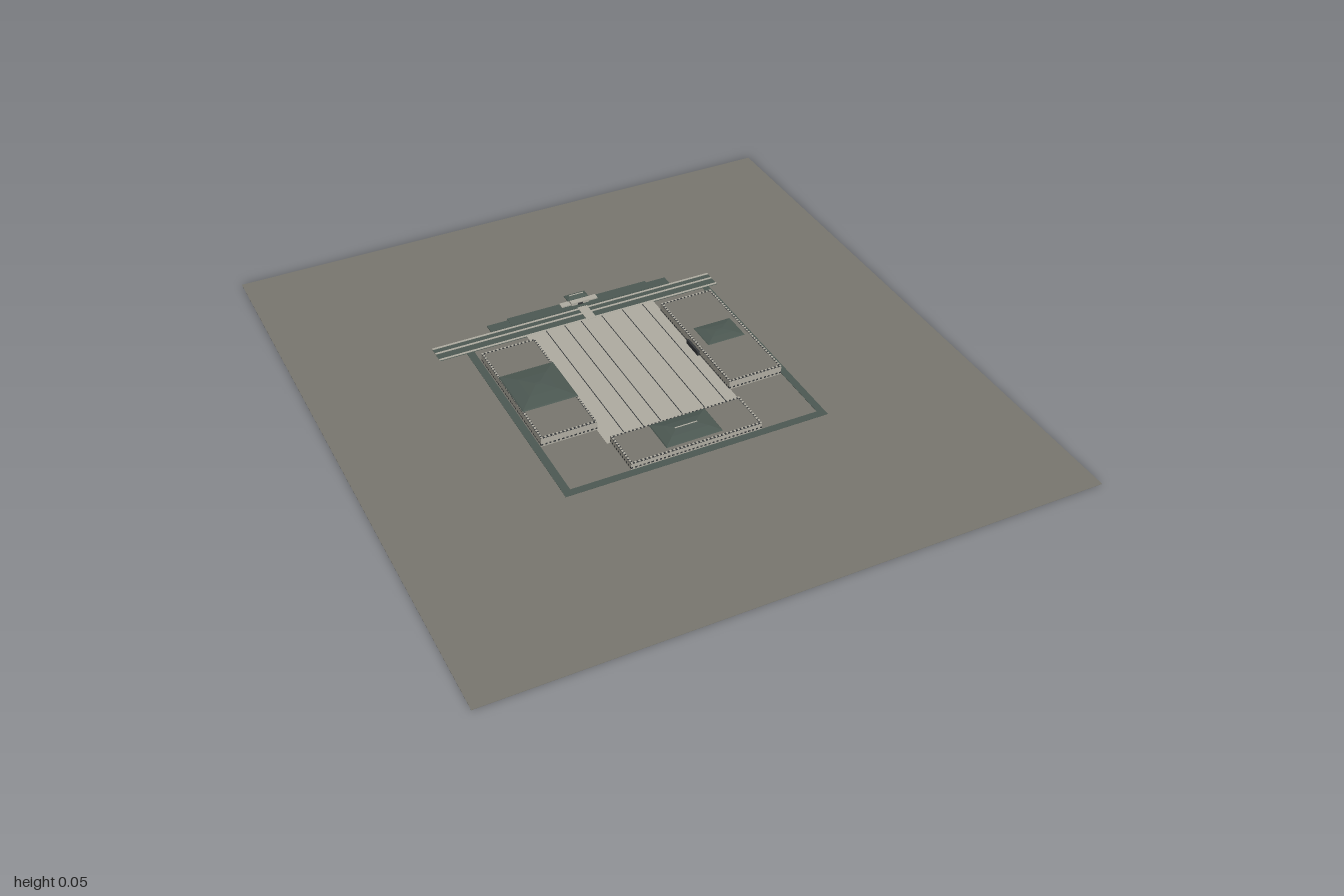
import * as THREE from 'three';
import { mergeGeometries } from 'three/addons/utils/BufferGeometryUtils.js';

const mat = (name, color) => {
  const m = new THREE.MeshStandardMaterial({ color });
  m.name = name;
  return m;
};

export function createModel() {
  const root = new THREE.Group();
  root.name = 'courtyardComplex';
  const ground = mat('ground grey', 0x78766e);
  const stone = mat('pale stone', 0xaeaba0);
  const tile = mat('green slate', 0x4c5852);
  const dark = mat('dark joint', 0x35383a);

  // box from its limits on each axis
  const boxGeo = (x0, x1, y0, y1, z0, z1) =>
    new THREE.BoxGeometry(x1 - x0, y1 - y0, z1 - z0)
      .translate((x0 + x1) / 2, (y0 + y1) / 2, (z0 + z1) / 2);
  const add = (parent, name, geo, material) => {
    const mesh = new THREE.Mesh(geo, material);
    mesh.name = name;
    parent.add(mesh);
    return mesh;
  };
  const box = (parent, name, material, ...limits) => add(parent, name, boxGeo(...limits), material);

  // curved hip roof: shrinking rectangles, closed by a ridge
  const hipRoof = (x0, x1, z0, z1, y0, y1) => {
    const w = (x1 - x0) / 2, d = (z1 - z0) / 2, cx = (x0 + x1) / 2, cz = (z0 + z1) / 2;
    const ridge = Math.max(w - d, 0.01), ridgeZ = Math.max(d - w, 0.004);
    const rings = [[0, 0], [0.04, 0.2], [0.55, 0.75], [1, 1]].map(([t, h]) => {
      const a = w + (ridge - w) * t, b = d + (ridgeZ - d) * t, y = y0 + (y1 - y0) * h;
      return [[-a, b], [a, b], [a, -b], [-a, -b]].map(([x, z]) => [cx + x, y, cz + z]);
    });
    const p = [];
    const quad = (a, b, c, e) => p.push(...a, ...b, ...c, ...a, ...c, ...e);
    for (let i = 0; i < 3; i++)
      for (let k = 0; k < 4; k++) {
        const n = (k + 1) % 4;
        quad(rings[i][k], rings[i][n], rings[i + 1][n], rings[i + 1][k]);
      }
    quad(...rings[3]);
    quad(...[...rings[0]].reverse());
    const g = new THREE.BufferGeometry();
    g.setAttribute('position', new THREE.Float32BufferAttribute(p, 3));
    g.computeVertexNormals();
    return g;
  };

  // small blocks spaced evenly around a rectangle
  const perimeter = (x0, x1, z0, z1, y0, y1, size, step) => {
    const parts = [], s = size / 2;
    const put = (x, z) => parts.push(boxGeo(x - s, x + s, y0, y1, z - s, z + s));
    const nx = Math.round((x1 - x0) / step), nz = Math.round((z1 - z0) / step);
    for (let i = 0; i <= nx; i++) for (const z of [z0, z1]) put(x0 + (x1 - x0) * i / nx, z);
    for (let i = 1; i < nz; i++) for (const x of [x0, x1]) put(x, z0 + (z1 - z0) * i / nz);
    return mergeGeometries(parts);
  };

  // hall: stone walls, flat roof with a beaded parapet, windows and a hip roof
  const hall = (name, [x0, x1, z0, z1], h, roof, peak) => {
    const g = new THREE.Group();
    g.name = name;
    root.add(g);
    box(g, 'walls', stone, x0, x1, 0.001, h - 0.001, z0, z1);
    box(g, 'parapetBase', dark, x0, x1, h - 0.001, h, z0, z1);
    box(g, 'flatRoof', ground, x0 + 0.007, x1 - 0.007, h, h + 0.0006, z0 + 0.007, z1 - 0.007);
    add(g, 'parapetPosts', perimeter(x0 + 0.003, x1 - 0.003, z0 + 0.003, z1 - 0.003, h, h + 0.002, 0.006, 0.012), stone);
    add(g, 'windows', perimeter(x0 + 0.003, x1 - 0.003, z0 + 0.003, z1 - 0.003, 0.005, 0.010, 0.0066, 0.013), dark);
    const [a, b, c, d] = roof;
    box(g, 'roofDrum', stone, a + 0.006, b - 0.006, h, h + 0.003, c + 0.006, d - 0.006);
    add(g, 'hipRoof', hipRoof(a, b, c, d, h + 0.003, peak), tile);
    return g;
  };

  // ground slab
  box(root, 'ground', ground, -0.93, 0.93, 0, 0.001, -1, 1);

  // paved court with joints
  box(root, 'court', stone, -0.22, 0.215, 0.001, 0.003, -0.335, 0.245);
  for (const x of [-0.155, -0.092, -0.036, 0.034, 0.106, 0.176])
    box(root, 'courtJoint', dark, x - 0.0013, x + 0.0013, 0.003, 0.0034, -0.335, 0.24);

  // surrounding channel
  box(root, 'channelRight', tile, -0.418, -0.394, 0.001, 0.002, -0.335, 0.403);
  box(root, 'channelLeft', tile, 0.39, 0.413, 0.001, 0.002, -0.335, 0.403);
  box(root, 'channelFront', tile, -0.394, 0.39, 0.001, 0.002, 0.379, 0.403);

  // three halls
  hall('rightHall', [-0.392, -0.217, -0.275, 0.175], 0.030, [-0.392, -0.217, -0.14, 0.045], 0.046);
  hall('leftHall', [0.212, 0.388, -0.275, 0.175], 0.030, [0.24, 0.366, -0.108, -0.01], 0.041);
  const front = hall('frontHall', [-0.208, 0.208, 0.242, 0.378], 0.022, [-0.09, 0.09, 0.25, 0.362], 0.038);
  box(front, 'roofRidge', stone, -0.036, 0.036, 0.0372, 0.0386, 0.304, 0.308);

  // doorways onto the court
  box(root, 'leftDoorway', dark, 0.205, 0.213, 0.003, 0.018, -0.085, -0.012);
  box(root, 'rightDoorway', dark, -0.218, -0.214, 0.003, 0.018, -0.085, -0.012);
  box(root, 'frontDoorway', dark, -0.05, 0.05, 0.003, 0.015, 0.239, 0.243);

  // avenue along the back with pale kerbs and a crossing
  box(root, 'avenue', tile, -0.505, 0.443, 0.001, 0.002, -0.402, -0.332);
  for (const z of [-0.397, -0.371, -0.337])
    box(root, 'kerb', stone, -0.505, 0.443, 0.002, 0.0035, z - 0.0035, z + 0.0035);
  box(root, 'crossing', stone, -0.016, 0.016, 0.002, 0.004, -0.425, -0.332);

  // back terrace, stepped in at its ends
  box(root, 'backTerrace', tile, -0.31, 0.307, 0.001, 0.004, -0.437, -0.402);
  box(root, 'backTerraceStep', tile, -0.24, 0.24, 0.001, 0.005, -0.445, -0.405);

  // gatehouse
  const gate = new THREE.Group();
  gate.name = 'gatehouse';
  root.add(gate);
  box(gate, 'gateWings', stone, -0.062, 0.062, 0.001, 0.009, -0.443, -0.422);
  box(gate, 'gateBody', stone, -0.03, 0.03, 0.001, 0.014, -0.463, -0.418);
  box(gate, 'gateDoor', dark, -0.009, 0.009, 0.002, 0.011, -0.465, -0.416);
  add(gate, 'gateRoof', hipRoof(-0.036, 0.036, -0.467, -0.436, 0.014, 0.022), tile);
  box(gate, 'gateRidge', stone, -0.024, 0.024, 0.0215, 0.023, -0.453, -0.449);

  return root;
}
